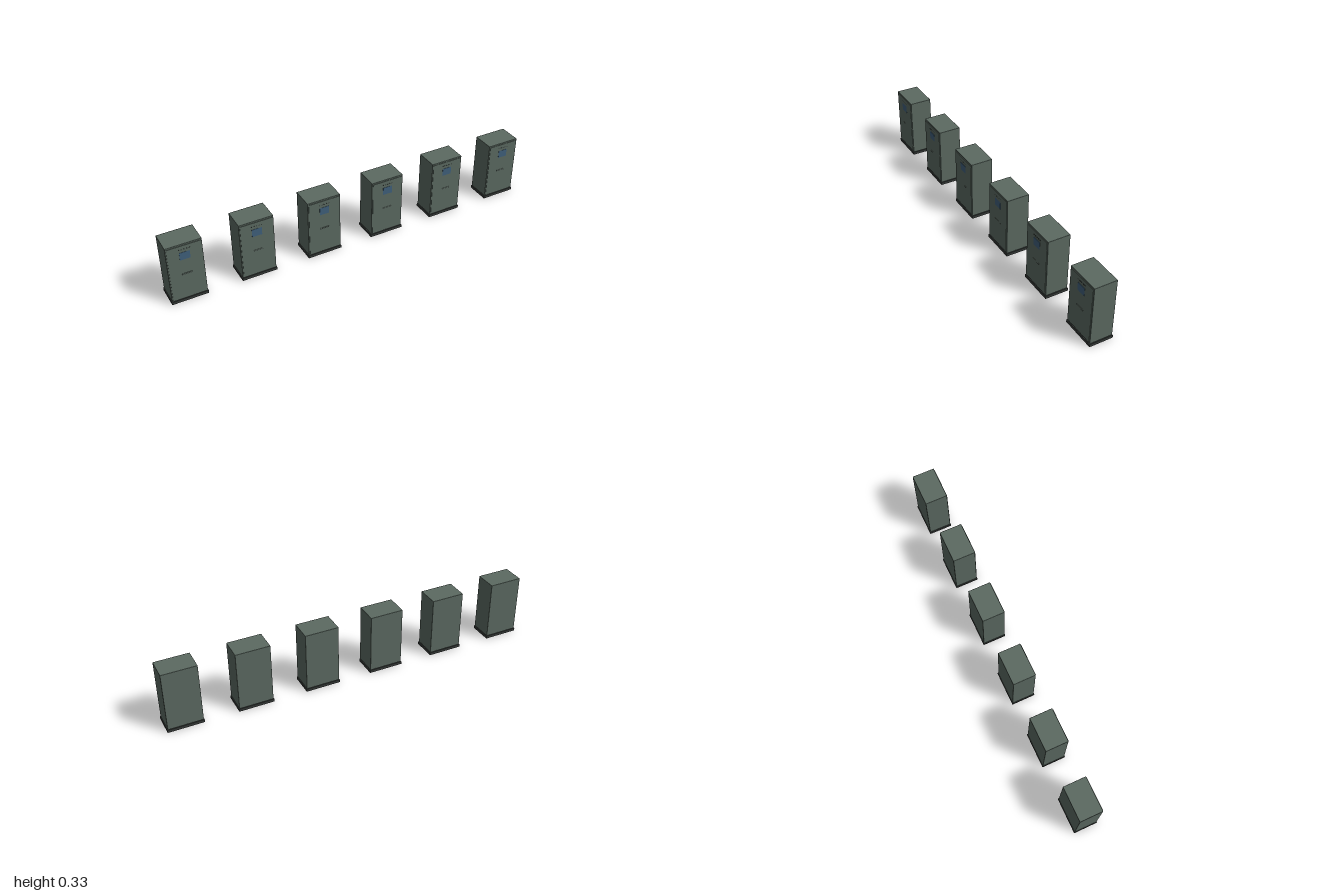
import * as THREE from 'three';
import { RoundedBoxGeometry } from 'three/addons/geometries/RoundedBoxGeometry.js';

const mat = (name, color) => {
  const m = new THREE.MeshStandardMaterial({ color });
  m.name = name;
  return m;
};

export function createModel() {
  const casing = mat('grey green paint', 0x5c6a62);
  const plinthMat = mat('dark plinth', 0x353937);
  const blue = mat('muted blue panel', 0x40607c);
  const dark = mat('dark fittings', 0x2b302e);

  const add = (parent, name, geometry, material, x, y, z) => {
    const m = new THREE.Mesh(geometry, material);
    m.name = name;
    m.position.set(x, y, z);
    parent.add(m);
  };
  const box = (w, h, d) => new THREE.BoxGeometry(w, h, d);

  // One cabinet, standing on y = 0
  function cabinet() {
    const g = new THREE.Group();
    add(g, 'plinth', box(0.186, 0.015, 0.125), plinthMat, 0, 0.0075, 0);
    add(g, 'plinthSeam', box(0.176, 0.003, 0.116), dark, 0, 0.016, 0);
    add(g, 'body', new RoundedBoxGeometry(0.18, 0.316, 0.12, 1, 0.0015), casing, 0, 0.175, 0);
    add(g, 'door', box(0.17, 0.302, 0.003), casing, 0, 0.174, 0.061);

    // Display panel with a row of indicator slots above it
    add(g, 'displayPanel', box(0.052, 0.042, 0.0012), blue, 0, 0.267, 0.0628);
    for (let i = 0; i < 5; i++) {
      add(g, 'indicatorSlot', box(0.006, 0.004, 0.001), dark, (i - 2) * 0.013, 0.304, 0.0627);
    }

    // Horizontal handle
    add(g, 'handle', box(0.05, 0.005, 0.0014), casing, 0, 0.163, 0.0632);
    add(g, 'handleRecess', box(0.052, 0.003, 0.0008), dark, 0, 0.1595, 0.0628);
    return g;
  }

  // Row of six equal cabinets
  const root = new THREE.Group();
  root.name = 'cabinetRow';
  for (let i = 0; i < 6; i++) {
    const c = cabinet();
    c.name = 'cabinet' + (i + 1);
    c.position.x = (i - 2.5) * 0.3628;
    root.add(c);
  }
  return root;
}
